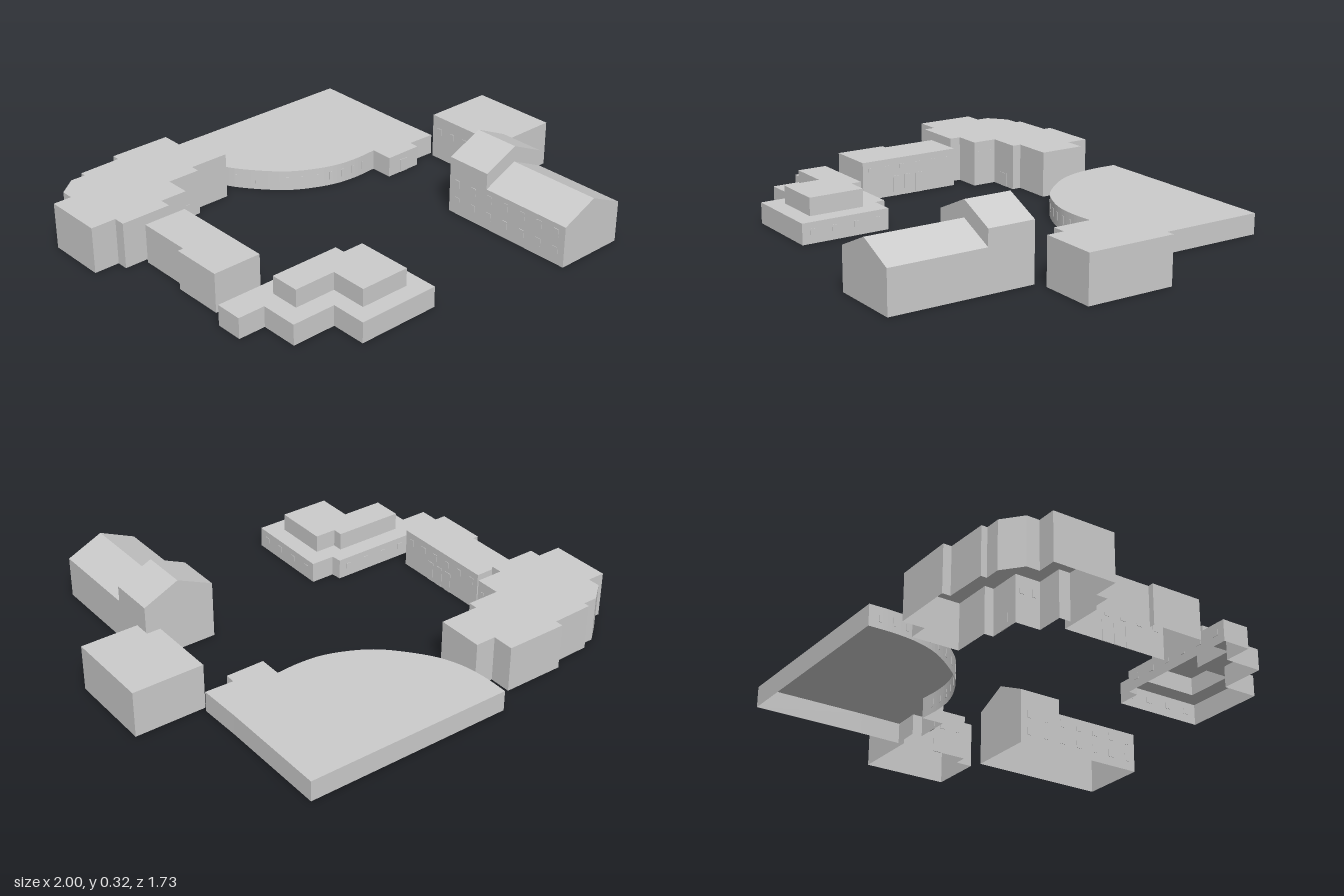
import * as THREE from 'three';
import { mergeGeometries } from 'three/addons/utils/BufferGeometryUtils.js';

const grey = new THREE.MeshStandardMaterial({ color: 0xcccccc, side: THREE.DoubleSide });

function mesh(name, geometry) {
  const m = new THREE.Mesh(geometry, grey);
  m.name = name;
  return m;
}

// Flat convex faces, each a loop of [x, y, z] corners
function faces(loops) {
  const pos = [];
  for (const f of loops)
    for (let i = 1; i < f.length - 1; i++) pos.push(...f[0], ...f[i], ...f[i + 1]);
  const g = new THREE.BufferGeometry();
  g.setAttribute('position', new THREE.Float32BufferAttribute(pos, 3));
  g.computeVertexNormals();
  return g;
}

const flat = (outline) => outline.map(([x, z]) => new THREE.Vector2(x, -z));

// Hollow building without a floor: walls along an [x, z] outline plus a flat roof
function shell(name, outline, y0, y1, roofHole) {
  const walls = faces(outline.map(([ax, az], i) => {
    const [bx, bz] = outline[(i + 1) % outline.length];
    return [[ax, y0, az], [ax, y1, az], [bx, y1, bz], [bx, y0, bz]];
  }));
  const shape = new THREE.Shape(flat(outline));
  if (roofHole) shape.holes.push(new THREE.Path(flat(roofHole)));
  const roof = new THREE.ShapeGeometry(shape).rotateX(-Math.PI / 2).translate(0, y1, 0).toNonIndexed();
  roof.deleteAttribute('uv');
  return mesh(name, mergeGeometries([walls, roof]));
}

// Evenly spaced thin panels on the wall from a to b
function panels(name, [ax, az], [bx, bz], count, y, w, h) {
  const g = new THREE.Group();
  g.name = name;
  for (let i = 0; i < count; i++) {
    const t = (i + 0.5) / count;
    const p = mesh('panel', new THREE.BoxGeometry(w, h, 0.004));
    p.position.set(ax + (bx - ax) * t, y, az + (bz - az) * t);
    p.rotation.y = -Math.atan2(bz - az, bx - ax);
    g.add(p);
  }
  return g;
}

function group(name, ...parts) {
  const g = new THREE.Group();
  g.name = name;
  g.add(...parts);
  return g;
}

function fanHall() {
  // Curved courtyard front
  const arc = new THREE.CatmullRomCurve3([
    [0.405, -0.25], [0.3, -0.245], [0.2, -0.255], [0.1, -0.29], [0, -0.348], [-0.09, -0.44],
    [-0.165, -0.545], [-0.205, -0.65], [-0.22, -0.76], [-0.22, -0.865],
  ].map(([x, z]) => new THREE.Vector3(x, 0, z)));
  const curve = arc.getPoints(48).map((p) => [p.x, p.z]);
  const outline = [[0.695, -0.865], [0.695, -0.38], [0.7, -0.19], [0.575, -0.195],
    [0.575, -0.15], [0.405, -0.15], ...curve];
  const g = group('fanHall', shell('hallShell', outline, 0, 0.09),
    panels('porchDoor', [0.575, -0.15], [0.405, -0.15], 1, 0.03, 0.04, 0.06));
  for (let i = 3; i < 46; i += 3)
    g.add(panels('curvedWallWindow', curve[i], curve[i + 1], 1, 0.045, 0.012, 0.035));
  return g;
}

function steppedWing() {
  return group('backLeftBuilding',
    shell('backLeftShell', [
      [-1, -0.595], [-0.92, -0.595], [-0.92, -0.65], [-0.84, -0.715], [-0.775, -0.715],
      [-0.775, -0.74], [-0.59, -0.745], [-0.59, -0.78], [-0.32, -0.78], [-0.32, -0.685],
      [-0.23, -0.685], [-0.23, -0.48], [-0.405, -0.48], [-0.405, -0.44], [-0.55, -0.44],
      [-0.55, -0.33], [-0.67, -0.33], [-0.67, -0.28], [-0.89, -0.28], [-0.89, -0.33], [-1, -0.33],
    ], 0, 0.2),
    panels('frontDoor', [-0.55, -0.44], [-0.405, -0.44], 1, 0.03, 0.045, 0.06),
    panels('sideWindows', [-0.55, -0.44], [-0.55, -0.33], 2, 0.14, 0.018, 0.03));
}

function terrace() {
  const upper = [[-0.67, 0.36], [-0.36, 0.36], [-0.36, 0.405], [-0.265, 0.405],
    [-0.265, 0.65], [-0.485, 0.65], [-0.485, 0.49], [-0.67, 0.49]];
  const lower = [[-0.87, 0.285], [-0.3, 0.285], [-0.295, 0.33], [-0.19, 0.33], [-0.19, 0.725],
    [-0.555, 0.725], [-0.555, 0.57], [-0.75, 0.57], [-0.75, 0.405], [-0.87, 0.405]];
  return group('terracedBuilding',
    shell('lowerStorey', lower, 0, 0.09, upper),
    shell('upperStorey', upper, 0.09, 0.167),
    panels('sideWindows', [-0.19, 0.33], [-0.19, 0.725], 4, 0.05, 0.025, 0.025),
    panels('rearWindows', [-0.87, 0.285], [-0.3, 0.285], 6, 0.05, 0.025, 0.025));
}

function gabledHouse() {
  const x0 = 0.385, x1 = 0.702, xm = 0.545, zb = 0.235, zs = 0.44, zf = 0.86;
  // Gable end outline, anticlockwise from the front
  const end = (z, e) => [[x0, 0, z], [x1, 0, z], [x1, e, z], [xm, e + 0.072, z], [x0, e, z]];
  const sides = (z0, z1, e) => [
    [[x1, 0, z1], [x1, 0, z0], [x1, e, z0], [x1, e, z1]],
    [[x0, 0, z0], [x0, 0, z1], [x0, e, z1], [x0, e, z0]],
    [[x1, e, z1], [x1, e, z0], [xm, e + 0.072, z0], [xm, e + 0.072, z1]],
    [[x0, e, z0], [x0, e, z1], [xm, e + 0.072, z1], [xm, e + 0.072, z0]],
  ];
  const lo = end(zs, 0.18), hi = end(zs, 0.25);
  return group('gabledHouse',
    mesh('frontRange', faces([...sides(zs, zf, 0.18), end(zf, 0.18)])),
    // Taller rear part, with the strip of wall above the front roof
    mesh('rearRange', faces([...sides(zb, zs, 0.25), end(zb, 0.25).reverse(),
      [lo[4], lo[3], hi[3], hi[4]], [lo[3], lo[2], hi[2], hi[3]]])),
    panels('lowerWindows', [x0, zb], [x0, zf], 7, 0.06, 0.025, 0.035),
    panels('upperWindows', [x0, zb], [x0, zf], 7, 0.14, 0.025, 0.035));
}

function leftBlock() {
  return group('longBlock',
    shell('longBlockShell', [[-0.8, -0.26], [-0.61, -0.26], [-0.61, 0.21], [-0.825, 0.21],
      [-0.825, -0.015], [-0.8, -0.015]], 0, 0.17),
    panels('entranceDoors', [-0.61, -0.1], [-0.61, 0.07], 3, 0.045, 0.035, 0.09),
    panels('upperWindows', [-0.61, -0.26], [-0.61, 0.21], 6, 0.125, 0.025, 0.03));
}

function rightBlock() {
  return group('cornerBlock',
    shell('cornerBlockShell', [[0.69, -0.17], [1, -0.17], [1, 0.215], [0.75, 0.215],
      [0.75, 0.14], [0.69, 0.14]], 0, 0.2),
    panels('courtyardWindows', [0.69, -0.17], [0.69, 0.14], 4, 0.13, 0.025, 0.03),
    panels('courtyardDoor', [0.69, -0.06], [0.69, 0.06], 1, 0.03, 0.04, 0.06));
}

export function createModel() {
  return group('buildingCluster', fanHall(), steppedWing(), terrace(), gabledHouse(), leftBlock(), rightBlock());
}
